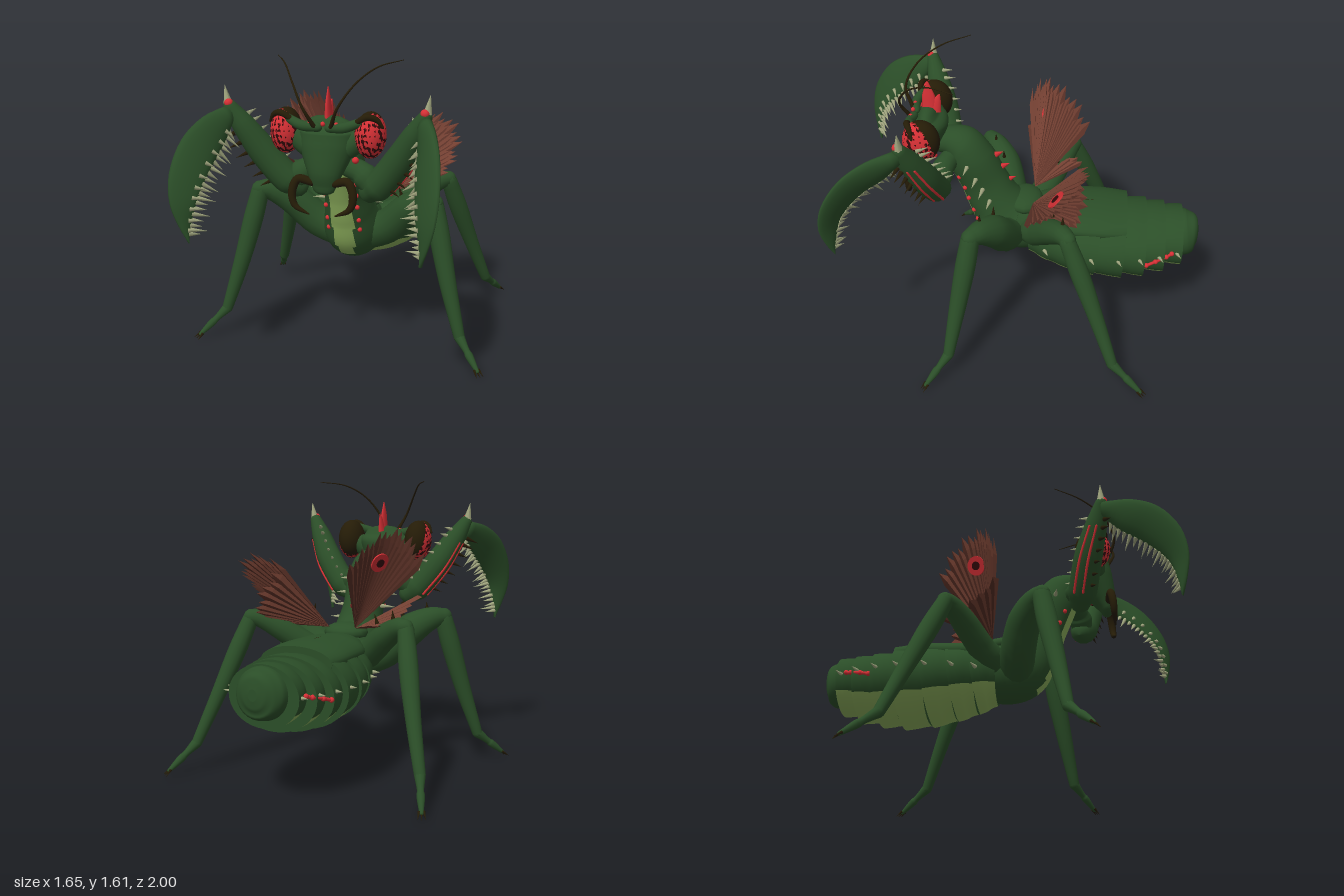
import * as THREE from 'three';

const V = (x, y, z) => new THREE.Vector3(x, y, z);
const paint = (name, color, side = THREE.FrontSide) => {
  const m = new THREE.MeshStandardMaterial({ color, side });
  m.name = name;
  return m;
};
const green = paint('body green', 0x2b4e28), pale = paint('belly green', 0x8cae5c);
const red = paint('red', 0xd63035), maroon = paint('eye speckle', 0x330a0a);
const bark = paint('dark brown', 0x251c07), khaki = paint('spine khaki', 0xa0a57e);
const wingA = paint('wing brown', 0x744032, THREE.DoubleSide);
const wingB = paint('wing shade', 0x582f25, THREE.DoubleSide);

// Closed skin over rings of points; pick(centre, angle) returns 0 or 1 for the material
function loft(rings, pick = () => 0) {
  const n = rings[0].length, pos = [], faces = [[], []];
  const centres = rings.map(r => r.reduce((s, p) => s.add(p), V(0, 0, 0)).divideScalar(n));
  rings.forEach(r => r.forEach(p => pos.push(p.x, p.y, p.z)));
  const last = rings.length - 1, a0 = rings.length * n, a1 = a0 + 1;
  for (const c of [centres[0], centres[last]]) pos.push(c.x, c.y, c.z);
  for (let j = 0; j < n; j++) {
    const k = (j + 1) % n, ang = (j + 0.5) / n * Math.PI * 2;
    for (let i = 0; i < last; i++) {
      const a = i * n + j, b = i * n + k;
      faces[pick(centres[i], ang)].push(a, b, a + n, b, b + n, a + n);
    }
    faces[0].push(a0, k, j, a1, last * n + j, last * n + k);
  }
  const g = new THREE.BufferGeometry();
  g.setAttribute('position', new THREE.Float32BufferAttribute(pos, 3));
  g.setIndex([...faces[0], ...faces[1]]);
  g.addGroup(0, faces[0].length, 0);
  g.addGroup(faces[0].length, faces[1].length, 1);
  g.computeVertexNormals();
  return g;
}

// Tapered tube through [x, y, z, radius, radius2] points, with round or flat ends
function tube(pts, { n = 14, steps = 5, ref = V(0, 0, 1), flat = false, pick } = {}) {
  const path = new THREE.CatmullRomCurve3(pts.map(p => V(p[0], p[1], p[2])));
  const radii = new THREE.CatmullRomCurve3(pts.map(p => V(p[3], p[4] ?? p[3], 0)));
  const caps = flat ? [[0, 1]] : [[0.5, 0.87], [0.85, 0.53], [1, 0.05]];
  const total = (pts.length - 1) * steps, rings = [];
  const ring = (t, off, k) => {
    const c = path.getPoint(t), d = path.getTangent(t), r = radii.getPoint(t);
    const u = ref.clone().addScaledVector(d, -ref.dot(d)).normalize(), v = d.clone().cross(u);
    c.addScaledVector(d, off * Math.min(r.x, r.y));
    rings.push(Array.from({ length: n }, (_, j) => {
      const a = j / n * Math.PI * 2;
      return c.clone().addScaledVector(u, r.x * k * Math.cos(a)).addScaledVector(v, r.y * k * Math.sin(a));
    }));
  };
  [...caps].reverse().forEach(([o, k]) => ring(0, -o, k));
  for (let i = 0; i <= total; i++) ring(i / total, 0, 1);
  caps.forEach(([o, k]) => ring(1, o, k));
  return loft(rings, pick);
}

export function createModel() {
  const root = new THREE.Group();
  root.name = 'mantis';
  const X = V(1, 0, 0);
  const add = (name, geo, mat) => {
    const m = new THREE.Mesh(geo, mat);
    m.name = name;
    root.add(m);
    return m;
  };
  const ball = (name, p, r, mat, sc = [1, 1, 1]) => {
    const m = add(name, new THREE.SphereGeometry(r, 14, 10), mat);
    m.position.copy(p);
    m.scale.set(...sc);
  };
  const spike = (name, p, dir, len, r, mat) => {
    const g = new THREE.ConeGeometry(r, len, 7).translate(0, len * 0.4, 0);
    const m = add(name, g, mat);
    m.position.copy(p);
    m.quaternion.setFromUnitVectors(V(0, 1, 0), dir.clone().normalize());
  };

  // Abdomen: overlapping rings [z0, z1, width0, width1, top, bottom0, bottom1]
  const belly = (c, a) => (a > 0.5 && a < 2.64 ? 1 : 0);
  [[-.03, -.16, .17, .24, .76, .45, .41], [-.14, -.28, .23, .28, .77, .41, .375],
    [-.26, -.42, .265, .3, .77, .38, .345], [-.4, -.57, .28, .3, .765, .355, .335],
    [-.55, -.69, .26, .28, .745, .36, .35], [-.67, -.8, .225, .243, .74, .375, .375],
    [-.78, -.9, .18, .2, .735, .415, .415]].forEach(([z0, z1, w0, w1, top, b0, b1]) => {
    const sec = (z, w, t, b) => [0, (t + b) / 2, z, w, (t - b) / 2];
    add('abdomenRing', tube([sec(z0, w0, top - .02, b0), sec((z0 + z1) / 2, (w0 + w1) / 2 + .006, top, (b0 + b1) / 2),
      sec(z1, w1, top, b1)], { n: 36, steps: 3, ref: X, flat: true, pick: belly }), [green, pale]);
    for (const s of [1, -1]) spike('abdomenSpine', V(s * w1 * .97, .58, z1 + .03), V(s, .1, -.4), .06, .012, khaki);
  });
  add('abdomenTip', tube([[0, .59, -.86, .145, .14], [0, .595, -.93, .135, .132], [0, .6, -.97, .105, .11],
    [0, .6, -.99, .065, .075], [0, .6, -.998, .025, .03]], { n: 28, ref: X, flat: true }), green);
  // Wing cover along the back
  add('wingCover', tube([[0, .705, -.08, .15, .07], [0, .7, -.2, .21, .085], [0, .7, -.42, .226, .085],
    [0, .692, -.58, .21, .083]], { n: 32, ref: X, flat: true }), green);
  ball('coverSeam', V(0, .779, -.35), .08, bark, [.05, .1, .9]);

  // Thorax, bending up to the neck, with a pale stripe down the front
  const stripe = (c, a) => {
    const half = c.y > .74 ? .53 : c.y > .665 ? .42 : .28;
    return Math.abs(a - Math.PI * 1.5) < half && c.y > .648 && c.y < 1.12 ? 1 : 0;
  };
  add('thorax', tube([[0, .6, -.1, .14, .14], [0, .625, 0, .165, .175], [0, .65, .09, .165, .18], [0, .77, .175, .135, .15],
    [0, .9, .235, .115, .135], [0, 1.03, .295, .125, .13], [0, 1.12, .35, .115, .11], [0, 1.15, .42, .085, .08],
    [0, 1.15, .5, .07, .07]], { n: 48, steps: 8, ref: X, pick: stripe }), [green, pale]);
  ball('backPlate', V(0, .77, 0), .13, green, [1, .45, .8]);
  [[.9, .105], [.985, .14], [1.06, .175]].forEach(([y, z]) => spike('backSpine', V(0, y, z - .005), V(0, .5, -1), .06, .022, red));

  // Head, crest and face
  add('head', tube([[0, 1.0, .6, .06, .035], [0, 1.07, .585, .09, .07], [0, 1.19, .545, .14, .1], [0, 1.27, .525, .15, .105],
    [0, 1.31, .525, .125, .05]], { n: 24, ref: X }), green);
  add('crest', tube([[0, 1.33, .515, .045, .02], [0, 1.42, .52, .035, .012], [0, 1.5, .52, .004, .003]],
    { n: 10, flat: true }), red);
  add('crestBack', tube([[0, 1.33, .49, .035, .018], [0, 1.39, .475, .022, .01], [0, 1.43, .46, .004, .003]],
    { n: 10, flat: true }), red);
  for (const x of [-.07, 0, .07]) ball('browDot', V(x, 1.33, .61), .012, red);

  for (const s of [1, -1]) {
    const P = (x, y, z, ...r) => [s * x, y, z, ...r];
    const W = (x, y, z) => V(s * x, y, z);

    // Compound eye: red, speckled, dark behind
    const ico = new THREE.IcosahedronGeometry(1, 11), ip = ico.attributes.position;
    const lists = [[], [], []], capDir = W(-.45, .42, -.78).normalize();
    for (let i = 0; i < ip.count; i += 3) {
      const c = V(0, 0, 0);
      for (let k = 0; k < 3; k++) c.add(V(ip.getX(i + k), ip.getY(i + k), ip.getZ(i + k)));
      c.divideScalar(3);
      const speck = Math.sin(c.x * 23 + c.y * 7) + Math.sin(c.y * 25 - c.z * 8) + Math.sin(c.z * 22 + c.x * 11);
      lists[c.dot(capDir) > .14 ? 2 : speck > .6 + c.y * .5 ? 1 : 0].push(i, i + 1, i + 2);
    }
    ico.setIndex(lists.flat());
    lists.reduce((start, l, m) => (ico.addGroup(start, l.length, m), start + l.length), 0);
    const eye = add('eye', ico, [red, maroon, bark]);
    eye.position.copy(W(.222, 1.272, .53));
    eye.scale.set(.078, .118, .1);
    add('eyeBrow', tube([P(.17, 1.345, .6, .014), P(.22, 1.373, .6, .017), P(.265, 1.36, .58, .015), P(.293, 1.32, .565, .007)]), bark);
    add('headRidge', tube([P(.03, 1.31, .6, .023), P(.11, 1.318, .61, .026), P(.19, 1.345, .585, .022)]), green);
    add('cheek', tube([P(.1, 1.2, .54, .06), P(.17, 1.25, .53, .06)]), green);
    add('mandible', tube([P(.06, 1.03, .61, .02), P(.13, 1.045, .62, .022), P(.16, .98, .63, .021), P(.145, .91, .635, .017),
      P(.07, .87, .64, .004)]), bark);
    add('antenna', tube([P(.045, 1.32, .62, .012), P(.09, 1.42, .66, .007), P(.16, 1.53, .6, .005), P(.24, 1.6, .48, .004),
      P(.335, 1.62, .33, .002)], { n: 7 }), bark);

    // Red studs and side spines of the thorax
    [[.68, .265], [.74, .285], [.82, .312], [.89, .33], [.96, .36]].forEach(([y, z]) => ball('chestStud', W(.088, y, z), .013, red));
    [[.83, .19], [.9, .23], [.97, .265], [1.05, .31]].forEach(([y, z]) =>
      spike('thoraxSpine', W(.12, y, z), V(s, -.05, .15), .095, .014, khaki));

    // Grasping foreleg
    add('foreCoxa', tube([P(.07, 1.07, .41, .055), P(.15, 1.05, .44, .06), P(.21, .99, .457, .06)]), green);
    ball('coxaStud', W(.13, 1.125, .485), .018, red);
    const femur = [[.2, .96, .45, .062], [.25, 1.0, .465, .08], [.36, 1.14, .5, .078], [.45, 1.29, .55, .06], [.505, 1.385, .58, .036]];
    add('foreFemur', tube(femur.map(p => P(...p))), green);
    for (const [dz, k] of [[-.045, .85], [0, .99]]) add('femurStripe', tube(femur.slice(1, 4).map(([x, y, z, r]) =>
      P(x + .8 * r * k, y - .58 * r * k, z + dz * r / .075, .007)), { n: 6 }), red);
    const fc = new THREE.CatmullRomCurve3(femur.map(p => W(p[0], p[1], p[2])));
    for (let i = 0; i < 7; i++) {
      const p = fc.getPoint(.3 + i * .085);
      spike('femurSpine', p.clone().add(W(.05, -.03, .04)), W(.8, -.4, .4), .075, .013, bark);
      spike('femurTooth', p.clone().add(W(-.03, .03, -.05)), W(-.35, .25, -1), .07, .012, khaki);
    }
    ball('foreJoint', W(.507, 1.405, .592), .023, red);
    spike('jointSpine', W(.517, 1.41, .58), W(.16, 1, 0), .1, .024, khaki);

    // Scythe: lens sections between an outer and a toothed inner edge
    const outer = new THREE.CatmullRomCurve3([W(.525, 1.39, .59), W(.585, 1.355, .74), W(.635, 1.27, .87), W(.66, 1.12, .97),
      W(.65, .98, 1), W(.615, .86, .985), W(.58, .77, .96)]);
    const inner = new THREE.CatmullRomCurve3([W(.49, 1.31, .59), W(.5, 1.22, .67), W(.51, 1.14, .78), W(.53, 1.05, .87),
      W(.545, .97, .92), W(.57, .86, .945), W(.579, .775, .957)]);
    const rings = [];
    for (let i = 0; i <= 24; i++) {
      const t = i / 24, o = outer.getPoint(t), q = inner.getPoint(t);
      const c = o.clone().add(q).multiplyScalar(.5), u = o.clone().sub(q).multiplyScalar(.5);
      const v = outer.getTangent(t).cross(u).normalize().multiplyScalar(.036 * (1 - t * .75));
      rings.push(Array.from({ length: 16 }, (_, j) => c.clone().addScaledVector(u, Math.cos(j * Math.PI / 8))
        .addScaledVector(v, Math.sin(j * Math.PI / 8))));
      if (i > 1 && i < 23) {
        const d = u.clone().normalize().negate();
        spike('scytheTooth', q, d.clone().add(W(i % 2 ? -.6 : -.1, -.25, 0)), i % 3 ? .065 : .1, .013, khaki);
        // Second row on the inward face
        const face = v.clone().multiplyScalar(Math.sign(v.x) === s ? -.8 : .8);
        if (i % 2) spike('faceTooth', q.clone().addScaledVector(u, .4).add(face), d.add(W(-.6, -.1, 0)), .055, .012, khaki);
      }
    }
    add('scythe', loft(rings), green);

    // Walking legs: femur, tibia, foot and claws
    const legs = [
      ['mid', [[.05, .6, .08, .1], [.2, .66, .1, .097], [.34, .79, .15, .09], [.44, .85, .21, .065], [.495, .86, .25, .048]],
        [[.495, .85, .25, .05], [.53, .7, .275, .055], [.59, .45, .32, .046], [.67, .17, .37, .03]], [.8, .03, .495]],
      ['hind', [[.08, .62, -.02, .075], [.2, .69, -.09, .075], [.32, .79, -.17, .07], [.42, .85, -.23, .055], [.47, .86, -.26, .045]],
        [[.475, .85, -.26, .045], [.52, .68, -.33, .052], [.59, .43, -.43, .042], [.67, .17, -.53, .03]], [.75, .03, -.705]],
    ];
    for (const [name, thigh, shin, toe] of legs) {
      const a = shin[3], at = k => a.slice(0, 3).map((q, i) => q + (toe[i] - q) * k);
      add(name + 'Femur', tube(thigh.map(p => P(...p))), green);
      add(name + 'Tibia', tube(shin.map(p => P(...p))), green);
      add(name + 'Foot', tube([P(...at(0), .03), P(...at(.4), .018), P(...at(.5), .022), P(...at(.92), .011)], { n: 10 }), green);
      const dir = W(...toe).sub(W(...at(0))).normalize();
      for (const k of [-1, 0, 1]) spike(name + 'Claw', W(...at(.9)).add(V(k * .01, 0, k * s * -.008 * Math.sign(toe[2]))),
        dir.clone().add(V(k * .2, -.05, 0)), .05, .008, bark);
      spike(name + 'KneeSpine', W(thigh[3][0] - .03, .9, thigh[3][2]), W(-.1, 1, 0), .05, .012, bark);
      spike(name + 'FemurSpine', W(thigh[2][0] - .05, .86, thigh[2][2]), W(-.3, 1, 0), .06, .012, bark);
    }

    // Red vein on the side of the abdomen
    const vein = [[.268, .545, -.7], [.25, .56, -.75], [.222, .575, -.81], [.203, .585, -.84]];
    add('sideVein', tube(vein.map(p => P(...p, .009)), { n: 6 }), red);
    vein.forEach(p => ball('veinBead', W(...p), .014, red));
  }

  // Wings: fans of pointed, ridged blades from a common root
  const fan = (name, base, tips, count) => {
    const curve = new THREE.CatmullRomCurve3(tips.map(t => V(...t)));
    const width = curve.getLength() / count * .8;
    const normalAt = t => curve.getPoint(t).sub(base).cross(curve.getTangent(t)).normalize();
    for (let i = 0; i < count; i++) {
      const t = i / (count - 1), d = curve.getPoint(t).sub(base).multiplyScalar([1, .94, .98][i % 3]);
      const w = curve.getTangent(t).multiplyScalar(width), nrm = normalAt(t);
      const at = (k, sw, up) => base.clone().addScaledVector(d, k).addScaledVector(w, sw).addScaledVector(nrm, up);
      const [b, l, m, r, tip] = [at(0, 0, 0), at(.86, -1, -.005), at(.86, 0, .006), at(.86, 1, -.005), at(1, .3, 0)];
      [[[b, l, m, m, l, tip], wingA], [[b, m, r, m, tip, r], wingB]].forEach(([v, mat]) => {
        const g = new THREE.BufferGeometry().setFromPoints(v);
        g.computeVertexNormals();
        add(name, g, mat);
      });
    }
    return (k, t, side) => ({ p: base.clone().lerp(curve.getPoint(t), k), nrm: normalAt(t).multiplyScalar(side) });
  };
  const spot = ({ p, nrm }) => [[.055, red, .014], [.024, maroon, .019]].forEach(([r, mat, up]) => {
    const m = add('wingSpot', new THREE.CylinderGeometry(r, r, .008, 24), mat);
    m.position.copy(p).addScaledVector(nrm, up);
    m.quaternion.setFromUnitVectors(V(0, 1, 0), nrm);
  });
  const rootL = V(.08, .8, -.05), rootR = V(-.08, .8, -.05);
  spot(fan('leftWing', rootL, [[.28, 1.2, -.35], [.42, 1.23, -.36], [.53, 1.16, -.3], [.55, 1.05, -.18], [.52, .96, -.06]], 15)(.6, .5, -1));
  spot(fan('rightWing', rootR, [[-.48, 1.22, 0], [-.42, 1.33, -.06], [-.35, 1.37, -.13], [-.28, 1.32, -.25], [-.2, 1.2, -.35]], 15)(.68, .55, 1));
  fan('leftHindWing', rootL, [[.28, 1.13, -.35], [.36, 1.03, -.36], [.41, .92, -.33], [.4, .85, -.26]], 9);
  fan('rightHindWing', rootR, [[-.47, 1.0, 0], [-.42, .92, -.1], [-.36, .86, -.22], [-.3, .86, -.32]], 8);
  return root;
}
